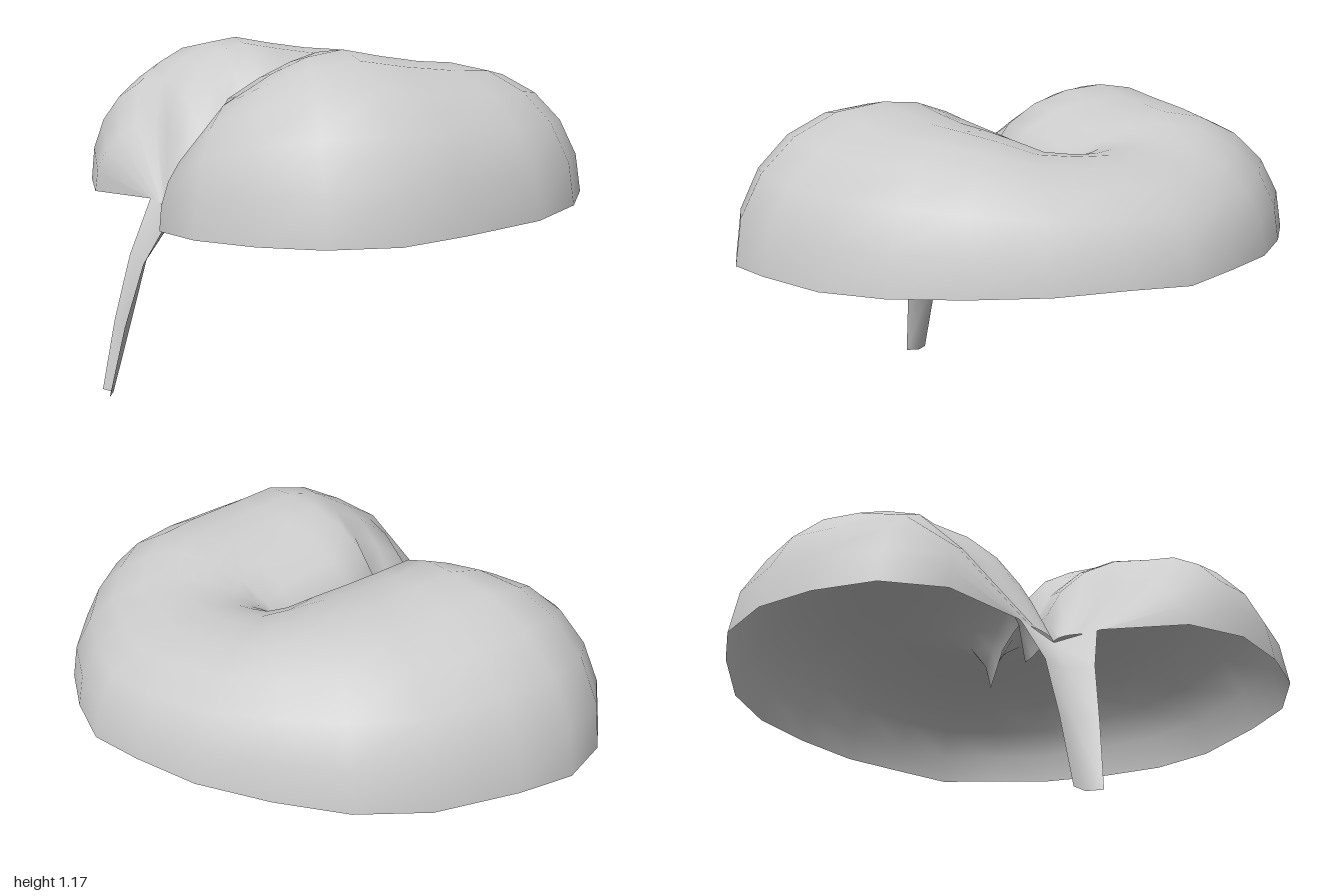
import * as THREE from 'three';

// Skins a grid of cross-sections (rows of [x, y, z]) with smooth normals
function skin(name, rows) {
  const n = rows[0].length, index = [];
  for (let i = 0; i < rows.length - 1; i++) {
    for (let j = 0; j < n - 1; j++) {
      const a = i * n + j;
      index.push(a, a + 1, a + n, a + 1, a + n + 1, a + n);
    }
  }
  const geo = new THREE.BufferGeometry();
  geo.setAttribute('position', new THREE.Float32BufferAttribute(rows.flat(2), 3));
  geo.setIndex(index);
  geo.computeVertexNormals();
  const mesh = new THREE.Mesh(geo, new THREE.MeshStandardMaterial({ color: 0xcccccc, side: THREE.DoubleSide }));
  mesh.name = name;
  return mesh;
}

// Stations of one lobe, from the middle of the round end to the stem: [x, y, z]
const rim = [
  [0.86, 0.69, 0], [0.82, 0.7, 0.21], [0.74, 0.695, 0.43], [0.6, 0.69, 0.64], [0.44, 0.685, 0.82],
  [0.23, 0.675, 0.935], [-0.06, 0.665, 0.99], [-0.27, 0.655, 1], [-0.47, 0.65, 0.92], [-0.62, 0.645, 0.78],
  [-0.74, 0.64, 0.6], [-0.78, 0.63, 0.39], [-0.65, 0.64, 0.13],
];
const crest = [
  [0.45, 1.03, 0], [0.43, 1.035, 0.12], [0.4, 1.05, 0.25], [0.33, 1.09, 0.35], [0.22, 1.115, 0.42],
  [0.08, 1.125, 0.45], [-0.06, 1.145, 0.46], [-0.2, 1.17, 0.47], [-0.32, 1.15, 0.47], [-0.42, 1.1, 0.43],
  [-0.52, 1.03, 0.38], [-0.58, 0.88, 0.28], [-0.63, 0.625, 0.07],
];
// Bottom of the cleft between the lobes: [x, y], on z = 0
const cleft = [
  [0.22, 0.95], [0.2, 0.93], [0.17, 0.88], [0.13, 0.79], [0.05, 0.83], [-0.03, 0.87], [-0.16, 0.87],
  [-0.28, 0.86], [-0.3, 0.68], [-0.38, 0.66], [-0.47, 0.65], [-0.53, 0.63], [-0.6, 0.6],
];

// Quarter ellipse leaving `from` vertically and reaching `top` level
function quarter(from, top, t) {
  const h = 1 - Math.cos(t * Math.PI / 2), v = Math.sin(t * Math.PI / 2);
  return [0, 1, 2].map(k => from[k] + (top[k] - from[k]) * (k === 1 ? v : h));
}

// Rim, over the crest, down into the cleft
function section(i, side) {
  const low = [cleft[i][0], cleft[i][1], 0], pts = [], steps = 5;
  for (let s = 0; s <= steps; s++) pts.push(quarter(rim[i], crest[i], s / steps));
  for (let s = steps - 1; s >= 0; s--) pts.push(quarter(low, crest[i], s / steps));
  return pts.map(([x, y, z]) => [x, y, z * side]);
}

export function createModel() {
  const model = new THREE.Group();
  model.name = 'lobedCap';

  // Hollow two-lobed shell, open underneath
  const stations = [];
  for (let i = -12; i <= 12; i++) stations.push(section(Math.abs(i), Math.sign(i)));
  model.add(skin('shell', stations));

  // Thin V-shaped stem: [edge x, edge y, half width, middle x, middle y]
  const stem = [
    [-0.65, 0.64, 0.13, -0.6, 0.6],
    [-0.745, 0.455, 0.08, -0.71, 0.45],
    [-0.81, 0.24, 0.062, -0.77, 0.24],
    [-0.865, 0, 0.045, -0.84, 0],
  ].map(([x, y, w, mx, my]) => [[x, y, w], [mx, my, 0], [x, y, -w]]);
  model.add(skin('stem', stem));

  return model;
}
